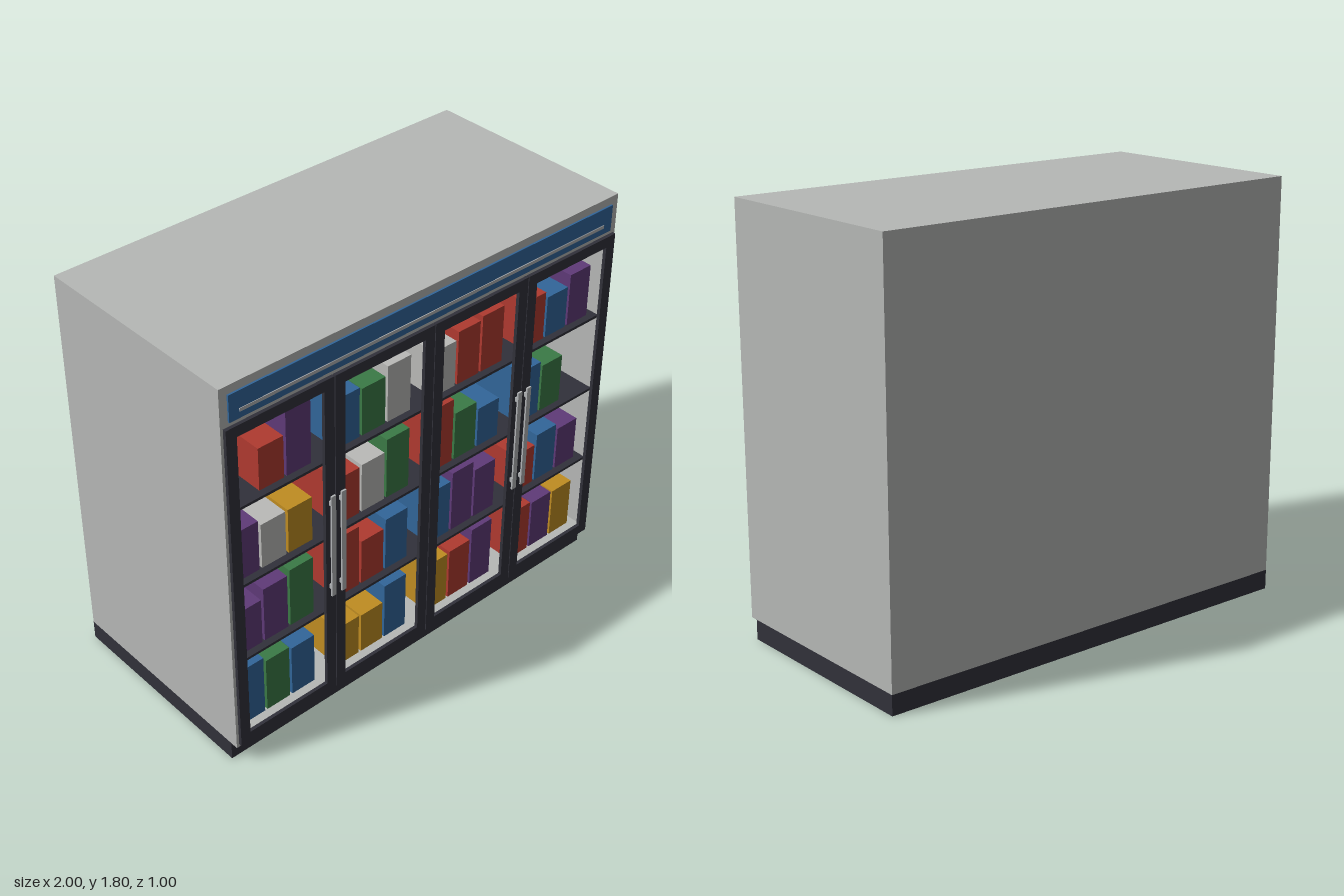
import * as THREE from 'three';

const mat = (name, color) => Object.assign(new THREE.MeshStandardMaterial({ color }), { name });

export function createModel() {
  const root = new THREE.Group();
  root.name = 'displayCabinet';

  const body = mat('cabinet grey', 0xb6b8b6);
  const dark = mat('charcoal', 0x31313a);
  const steel = mat('brushed steel', 0xb2b4b6);
  const blue = mat('blue', 0x32669a);
  const stock = {
    r: mat('red', 0xb03a30),
    g: mat('green', 0x3b7a46),
    y: mat('mustard', 0xc08d22),
    p: mat('purple', 0x5f3a78),
    w: mat('off white', 0xbabab8),
    b: blue,
  };

  // Box given by its lower and upper bounds
  function box(parent, name, material, [x0, x1], [y0, y1], [z0, z1]) {
    const mesh = new THREE.Mesh(new THREE.BoxGeometry(x1 - x0, y1 - y0, z1 - z0), material);
    mesh.position.set((x0 + x1) / 2, (y0 + y1) / 2, (z0 + z1) / 2);
    mesh.name = name;
    parent.add(mesh);
    return mesh;
  }

  // Extruded rectangle with a rectangular opening
  function frame(w, h, border, depth) {
    const outline = (a, b) => [[-a, -b], [a, -b], [a, b], [-a, b]].map(([x, y]) => new THREE.Vector2(x, y));
    const shape = new THREE.Shape(outline(w / 2, h / 2));
    shape.holes.push(new THREE.Path(outline(w / 2 - border, h / 2 - border).reverse()));
    return new THREE.ExtrudeGeometry(shape, { depth, bevelEnabled: false });
  }

  // Hollow plinth, open underneath
  const plinth = new THREE.Mesh(frame(2, 0.93, 0.01, 0.085), dark);
  plinth.rotation.x = -Math.PI / 2;
  plinth.position.z = -0.035;
  plinth.name = 'plinth';
  root.add(plinth);

  // Cabinet shell with a shallow open bay at the front
  const cabinet = new THREE.Group();
  cabinet.name = 'cabinet';
  root.add(cabinet);
  const FRONT = 0.465, BACK = 0.1, FLOOR = 0.135, CEILING = 1.605;
  box(cabinet, 'rearHousing', body, [-1, 1], [0.085, 1.8], [-0.5, BACK]);
  box(cabinet, 'floor', body, [-1, 1], [0.085, FLOOR], [BACK, FRONT]);
  box(cabinet, 'top', body, [-1, 1], [CEILING, 1.8], [BACK, FRONT]);
  for (const s of [-1, 1]) {
    const xs = [s, s * 0.965].sort((a, b) => a - b);
    box(cabinet, 'sideWall', body, xs, [FLOOR, CEILING], [BACK, FRONT]);
  }

  // Header panel with a light strip
  box(root, 'headerPanel', blue, [-0.965, 0.965], [1.65, 1.765], [FRONT, 0.473]);
  box(root, 'headerStrip', steel, [-0.92, 0.92], [1.678, 1.692], [0.473, 0.476]);

  // Shelves
  for (const y of [0.5, 0.868, 1.235]) {
    box(root, 'shelf', dark, [-0.965, 0.965], [y - 0.006, y + 0.006], [BACK, 0.45]);
  }

  // Stock on each shelf: colour and top height, three per door, lowest shelf first
  const rows = [
    [0.135, 'b.42 g.395 b.38 y.335 y.33 b.41 y.38 r.385 p.43 r.39 p.38 y.375'],
    [0.506, 'p.72 p.765 g.785 r.805 r.72 b.76 b.765 p.80 p.75 r.70 b.745 p.715'],
    [0.874, 'p1.105 w1.08 y1.08 r1.095 w1.10 g1.155 r1.175 g1.10 b1.06 b1.125 g1.10 -'],
    [1.241, '- r1.43 p1.54 b1.465 g1.455 w1.495 w1.45 r1.485 r1.50 r1.46 b1.43 p1.48'],
  ];
  const goods = new THREE.Group();
  goods.name = 'stock';
  root.add(goods);
  for (const [base, items] of rows) {
    items.split(' ').forEach((item, i) => {
      if (item === '-') return;
      const x = -0.935 + Math.floor(i / 3) * 0.496 + (i % 3) * 0.129;
      box(goods, 'carton', stock[item[0]], [x, x + 0.117], [base, parseFloat(item.slice(1))], [0.13, 0.42]);
    });
  }

  // Four framed doors, handles meeting in pairs
  const doorFrame = frame(0.491, 1.53, 0.047, 0.015);
  for (let i = 0; i < 4; i++) {
    const x = (i - 1.5) * 0.495;
    const door = new THREE.Group();
    door.name = 'door';
    root.add(door);
    const rim = new THREE.Mesh(doorFrame, dark);
    rim.position.set(x, 0.865, FRONT);
    rim.name = 'doorFrame';
    door.add(rim);

    const hx = x + (i % 2 ? -1 : 1) * 0.222;
    box(door, 'handleBar', steel, [hx - 0.011, hx + 0.011], [0.62, 1.11], [0.492, 0.5]);
    for (const y of [0.66, 1.07]) {
      box(door, 'handleMount', steel, [hx - 0.008, hx + 0.008], [y - 0.01, y + 0.01], [0.48, 0.492]);
    }
  }
  return root;
}
